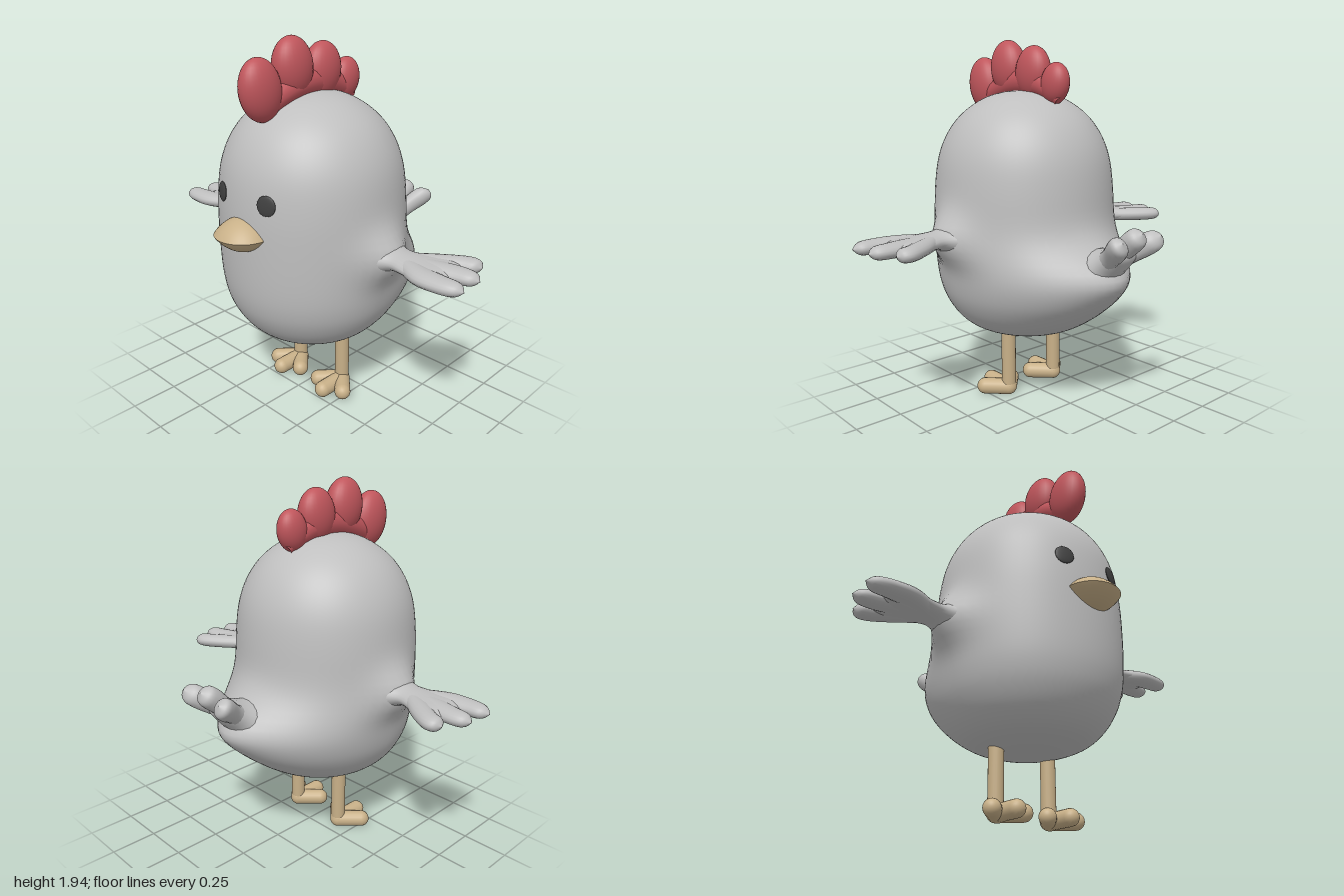
import * as THREE from 'three';
import { mergeVertices } from 'three/addons/utils/BufferGeometryUtils.js';

const V = (x, y, z) => new THREE.Vector3(x, y, z);
const gauss = (d, s) => Math.exp(-(d * d) / (s * s));

function material(name, color) {
  const m = new THREE.MeshStandardMaterial({ color });
  m.name = name;
  return m;
}

// Smooth tube through stations [x, y, z, sideRadius, otherRadius]
function loft(stations, side, steps = 28, around = 18) {
  const path = new THREE.CatmullRomCurve3(stations.map(s => V(s[0], s[1], s[2])), false, 'catmullrom');
  const size = new THREE.CatmullRomCurve3(stations.map(s => V(s[3], s[4], 0)), false, 'catmullrom');
  const pos = [], idx = [];
  for (let i = 0; i <= steps; i++) {
    const t = i / steps, p = path.getPoint(t), r = size.getPoint(t);
    const n = path.getTangent(t).cross(side).normalize();
    for (let j = 0; j < around; j++) {
      const a = (j / around) * Math.PI * 2;
      const q = p.clone()
        .addScaledVector(side, Math.cos(a) * Math.max(r.x, 0.0005))
        .addScaledVector(n, Math.sin(a) * Math.max(r.y, 0.0005));
      pos.push(q.x, q.y, q.z);
    }
  }
  for (let i = 0; i < steps; i++) {
    for (let j = 0; j < around; j++) {
      const a = i * around + j, b = i * around + (j + 1) % around;
      idx.push(a, b, a + around, b, b + around, a + around);
    }
  }
  const g = new THREE.BufferGeometry();
  g.setAttribute('position', new THREE.Float32BufferAttribute(pos, 3));
  g.setIndex(idx);
  g.computeVertexNormals();
  return g;
}

// Egg-shaped body, pulled outward at the tail and the wing roots
function bodyGeometry() {
  const cz = 0.125;
  const profile = new THREE.SplineCurve([
    [0, 0.33], [0.1, 0.338], [0.2, 0.358], [0.3, 0.398], [0.375, 0.46], [0.43, 0.54], [0.465, 0.63],
    [0.484, 0.75], [0.491, 0.95], [0.487, 1.15], [0.463, 1.32], [0.41, 1.45],
    [0.33, 1.55], [0.22, 1.625], [0.11, 1.66], [0, 1.67],
  ].map(p => new THREE.Vector2(...p)));
  const pts = profile.getPoints(75);
  pts.forEach(p => { p.x = Math.max(p.x, 0); });
  let g = new THREE.LatheGeometry(pts, 72);
  g.deleteAttribute('uv');
  g.deleteAttribute('normal');
  g = mergeVertices(g, 1e-5);
  const p = g.attributes.position;
  for (let i = 0; i < p.count; i++) {
    const x = p.getX(i), y = p.getY(i), z = p.getZ(i);
    const back = Math.max(0, -z) / 0.49;
    const rump = 0.175 * gauss(y - 0.7, y < 0.7 ? 0.28 : 0.18);
    const tailRoot = 0.07 * gauss(y - 0.76, 0.13) * gauss(x, 0.17);
    const wingRoot = 0.1 * gauss(y - 0.92, 0.12) * gauss(z, 0.15) * (x / 0.49);
    p.setXYZ(i, x + wingRoot, y, z + cz - back * (rump + tailRoot));
  }
  g.computeVertexNormals();
  return g;
}

export function createModel() {
  const model = new THREE.Group();
  model.name = 'chicken';
  const plumage = material('plumage grey', 0xbfbfbf);
  const comb = material('comb red', 0xc0565c);
  const horn = material('beak and leg tan', 0xc8b088);
  const eyeMat = material('eye dark', 0x404040);
  const add = (name, geometry, mat, parent = model) => {
    const m = new THREE.Mesh(geometry, mat);
    m.name = name;
    parent.add(m);
    return m;
  };
  const group = name => {
    const g = new THREE.Group();
    g.name = name;
    model.add(g);
    return g;
  };
  const X = V(1, 0, 0), Z = V(0, 0, 1);

  add('body', bodyGeometry(), plumage);

  // Tail: a narrowing neck that splits into three rounded feathers
  const tail = group('tail');
  add('tailNeck', loft([
    [0, 0.72, -0.3, 0.24, 0.18], [0, 0.77, -0.42, 0.165, 0.13], [0, 0.825, -0.51, 0.115, 0.085],
    [0, 0.865, -0.57, 0.1, 0.065], [0, 0.9, -0.615, 0.09, 0.045], [0, 0.92, -0.64, 0, 0],
  ], X), plumage, tail);
  for (const s of [-1, 0, 1]) {
    const lift = s === 0 ? 0.025 : 0;
    add('tailFeather', loft([
      [s * 0.04, 0.82, -0.5, 0.045, 0.05], [s * 0.07, 0.875 + lift * 0.5, -0.58, 0.045, 0.05],
      [s * 0.11, 0.93 + lift, -0.655, 0.055, 0.056], [s * 0.13, 0.96 + lift, -0.695, 0.046, 0.046],
      [s * 0.14, 0.978 + lift, -0.718, 0, 0],
    ], X), plumage, tail);
  }

  // Wings: flat palm with three feather tips
  for (const s of [1, -1]) {
    const wing = group(s > 0 ? 'leftWing' : 'rightWing');
    const y = 0.925;
    add('wingPalm', loft([
      [0.42, y - 0.01, 0.12, 0.2, 0.14], [0.5, y - 0.005, 0.12, 0.135, 0.085], [0.58, y, 0.12, 0.093, 0.05],
      [0.65, y, 0.115, 0.105, 0.042], [0.73, y, 0.1, 0.14, 0.037], [0.81, y, 0.09, 0.15, 0.032],
      [0.86, y, 0.09, 0.09, 0.015], [0.87, y, 0.09, 0, 0],
    ].map(([x, ...r]) => [s * x, ...r]), Z, 40, 24), plumage, wing);
    const feathers = [
      [[0.62, 0.09], [0.74, 0.01], [0.84, -0.055], [0.895, -0.068], [0.922, -0.07]],
      [[0.62, 0.11], [0.76, 0.09], [0.88, 0.065], [0.955, 0.06], [0.992, 0.06]],
      [[0.62, 0.14], [0.76, 0.195], [0.88, 0.205], [0.96, 0.2], [1.0, 0.2]],
    ];
    const sizes = [[0.05, 0.036], [0.066, 0.038], [0.06, 0.037], [0.044, 0.031], [0, 0]];
    for (const f of feathers) {
      add('wingFeather', loft(f.map(([x, z], i) => [s * x, y, z, ...sizes[i]]), Z), plumage, wing);
    }
  }

  // Comb: four lobes rising from a ridge along the head
  const crest = group('comb');
  add('combRidge', loft([
    [0, 1.58, 0.46, 0.03, 0.04], [0, 1.66, 0.36, 0.06, 0.06], [0, 1.71, 0.2, 0.065, 0.07],
    [0, 1.71, 0.04, 0.06, 0.07], [0, 1.66, -0.1, 0.05, 0.05], [0, 1.61, -0.16, 0.03, 0.03],
  ], X), comb, crest);
  const lobes = [ // y, z, half sizes, tilt
    [1.705, 0.457, 0.08, 0.154, 0.115, 0.2],
    [1.79, 0.252, 0.085, 0.15, 0.115, 0.1],
    [1.76, 0.05, 0.078, 0.14, 0.113, -0.1],
    [1.7, -0.12, 0.064, 0.108, 0.086, -0.2],
  ];
  for (const [y, z, rx, ry, rz, tilt] of lobes) {
    const lobe = add('combLobe', new THREE.SphereGeometry(1, 28, 20), comb, crest);
    lobe.position.set(0, y, z);
    lobe.scale.set(rx, ry, rz);
    lobe.rotation.x = tilt;
  }

  // Beak: two shallow domes meeting at a sharp edge
  const beak = group('beak');
  const dome = Array.from({ length: 13 }, (_, i) => {
    const r = 1 - i / 12;
    return new THREE.Vector2(r, Math.pow(1 - r * r, 0.9));
  });
  for (const s of [1, -1]) {
    const half = add(s > 0 ? 'upperBeak' : 'lowerBeak', new THREE.LatheGeometry(dome, 36), horn, beak);
    half.position.set(0, 1.035, 0.59);
    half.scale.set(0.148, 0.086, 0.145);
    if (s < 0) half.rotation.z = Math.PI;
  }

  for (const s of [1, -1]) {
    const sideName = s > 0 ? 'left' : 'right';

    // Eye: thin disc lying on the face
    const eye = add(sideName + 'Eye', new THREE.SphereGeometry(1, 24, 12), eyeMat);
    eye.position.set(s * 0.16, 1.21, 0.582);
    eye.scale.set(0.05, 0.05, 0.009);
    eye.rotation.set(-0.08, s * 0.33, 0, 'YXZ');

    // Leg with a rounded heel and three toes
    const leg = group(sideName + 'Leg');
    leg.position.set(s * 0.167, 0.05, 0.068);
    add('shin', new THREE.CylinderGeometry(0.039, 0.039, 0.36, 20), horn, leg).position.y = 0.18;
    add('heel', new THREE.SphereGeometry(0.043, 20, 14), horn, leg);
    for (const [tx, tz] of [[-0.093, 0.095], [0, 0.155], [0.093, 0.095]]) {
      const toe = add('toe', new THREE.CapsuleGeometry(0.044, Math.hypot(tx, tz), 8, 18), horn, leg);
      toe.position.set(tx / 2, -0.005, tz / 2);
      toe.quaternion.setFromUnitVectors(V(0, 1, 0), V(tx, 0, tz).normalize());
    }
  }
  return model;
}
